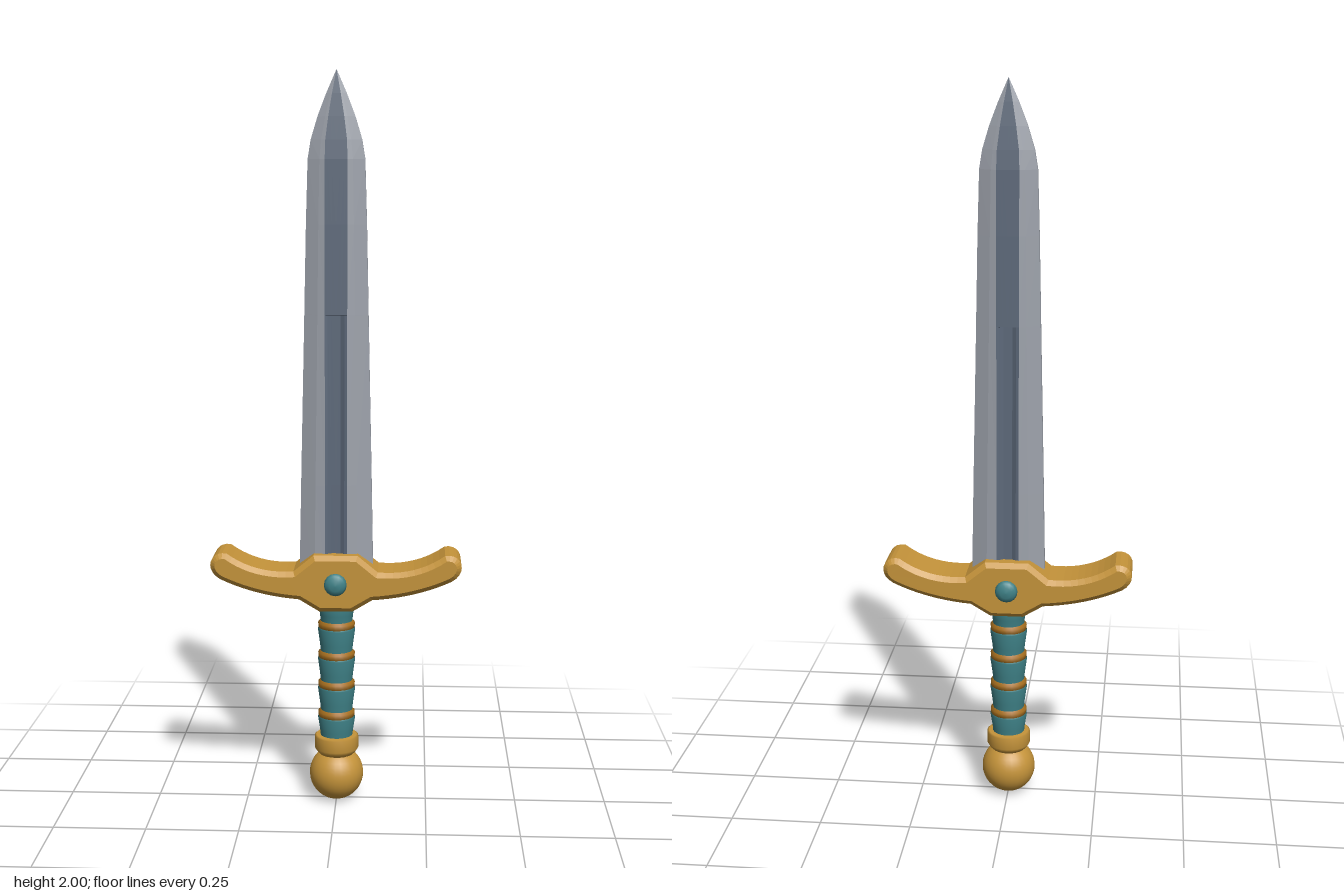
import * as THREE from 'three';

const mat = (name, color, side = THREE.FrontSide) => {
  const m = new THREE.MeshStandardMaterial({ color, side });
  m.name = name;
  return m;
};

export function createModel() {
  const steel = mat('steel', 0x9da2ab, THREE.DoubleSide);
  const darkSteel = mat('darkSteel', 0x5d697a, THREE.DoubleSide);
  const gold = mat('gold', 0xc4933a);
  const bronze = mat('bronze', 0xa8701f);
  const teal = mat('teal', 0x3f8288);

  const root = new THREE.Group();
  root.name = 'sword';
  const add = (name, geometry, material, parent = root) => {
    const mesh = new THREE.Mesh(geometry, material);
    mesh.name = name;
    parent.add(mesh);
    return mesh;
  };
  const lathe = (pts, seg = 24) =>
    new THREE.LatheGeometry(pts.map(([r, y]) => new THREE.Vector2(r, y)), seg);

  // Blade stations: height, half width, half thickness, fuller depth
  const stations = [
    [0.64, 0.101, 0.037, 0.009], [0.9, 0.096, 0.035, 0.009],
    [1.36, 0.086, 0.031, 0.008], [1.361, 0.086, 0.031, 0],
    [1.6, 0.081, 0.029, 0], [1.77, 0.076, 0.026, 0],
    [1.82, 0.068, 0.022, 0], [1.88, 0.05, 0.016, 0],
    [1.94, 0.027, 0.009, 0], [2.0, 0.0006, 0.0004, 0],
  ];
  // One quarter of the cross-section, from the edge to the centre line
  const quarter = ([y, w, t, depth]) => {
    const d = Math.min(0.03, w * 0.42);
    return [
      [w, y, 0], [w, y, t * 0.3], [w * 0.58, y, t * 0.84], [d, y, t],
      [d * 0.75, y, t - depth * 0.2], [d * 0.4, y, t - depth], [0, y, t - depth],
    ];
  };
  const strips = (from, to, sx, sz) => {
    const pos = [];
    const flip = sx * sz < 0;
    for (let s = 0; s < stations.length - 1; s++) {
      const lower = quarter(stations[s]), upper = quarter(stations[s + 1]);
      for (let i = from; i < to; i++) {
        const [a, b, c, d] = [lower[i], upper[i], upper[i + 1], lower[i + 1]]
          .map(([x, y, z]) => [x * sx, y, z * sz]);
        const tris = flip ? [a, d, b, b, d, c] : [a, b, d, b, c, d];
        tris.forEach((p) => pos.push(...p));
      }
    }
    const g = new THREE.BufferGeometry();
    g.setAttribute('position', new THREE.Float32BufferAttribute(pos, 3));
    g.computeVertexNormals();
    return g;
  };
  const blade = new THREE.Group();
  blade.name = 'blade';
  root.add(blade);
  for (const sx of [1, -1]) {
    for (const sz of [1, -1]) {
      add('bladeEdge', strips(0, 3, sx, sz), steel, blade);
      add('bladeFuller', strips(3, 6, sx, sz), darkSteel, blade);
    }
  }

  // Crossguard: bevelled outline with upswept, rounded arms
  const outline = new THREE.Shape();
  outline.moveTo(-0.045, 0.555);
  outline.lineTo(0.045, 0.555);
  outline.lineTo(0.1, 0.588);
  outline.quadraticCurveTo(0.22, 0.597, 0.315, 0.642);
  outline.bezierCurveTo(0.362, 0.668, 0.342, 0.722, 0.297, 0.714);
  outline.quadraticCurveTo(0.22, 0.658, 0.115, 0.666);
  outline.lineTo(0.06, 0.711);
  outline.lineTo(-0.06, 0.711);
  outline.lineTo(-0.115, 0.666);
  outline.quadraticCurveTo(-0.22, 0.658, -0.297, 0.714);
  outline.bezierCurveTo(-0.342, 0.722, -0.362, 0.668, -0.315, 0.642);
  outline.quadraticCurveTo(-0.22, 0.597, -0.1, 0.588);
  outline.closePath();
  const guard = new THREE.ExtrudeGeometry(outline, {
    depth: 0.114, bevelThickness: 0.013, bevelSize: 0.013, bevelOffset: -0.013,
    bevelSegments: 1, curveSegments: 10,
  });
  guard.translate(0, 0, -0.057);
  add('crossguard', guard, gold);

  // Gem on each face of the guard
  for (const s of [1, -1]) {
    const gem = add('gem', lathe([[0.031, 0], [0.031, 0.073], [0.026, 0.081], [0.015, 0.087], [0, 0.088]], 16), teal);
    gem.rotation.x = s * Math.PI / 2;
    gem.position.y = 0.633;
  }

  // Grip: flared wraps, each capped by a thin band
  const grip = new THREE.Group();
  grip.name = 'grip';
  root.add(grip);
  const bands = [0.25, 0.335, 0.42, 0.505];
  [0.17, ...bands].forEach((y, i) => {
    const top = bands[i] ?? 0.57;
    add('gripWrap', lathe([[0.043, y], [0.046, y + 0.03], [0.052, top - 0.012], [0.047, top - 0.006], [0.043, top]]), teal, grip);
  });
  for (const y of bands) {
    add('gripBand', lathe([[0.042, y - 0.011], [0.05, y - 0.008], [0.051, y + 0.005], [0.043, y + 0.012]]), bronze, grip);
  }

  // Collar and pommel
  add('collar', lathe([[0.045, 0.13], [0.055, 0.14], [0.061, 0.15], [0.061, 0.183], [0.056, 0.187], [0, 0.187]]), gold);
  const pommel = add('pommel', new THREE.SphereGeometry(0.075, 28, 20), gold);
  pommel.position.y = 0.075;

  return root;
}
